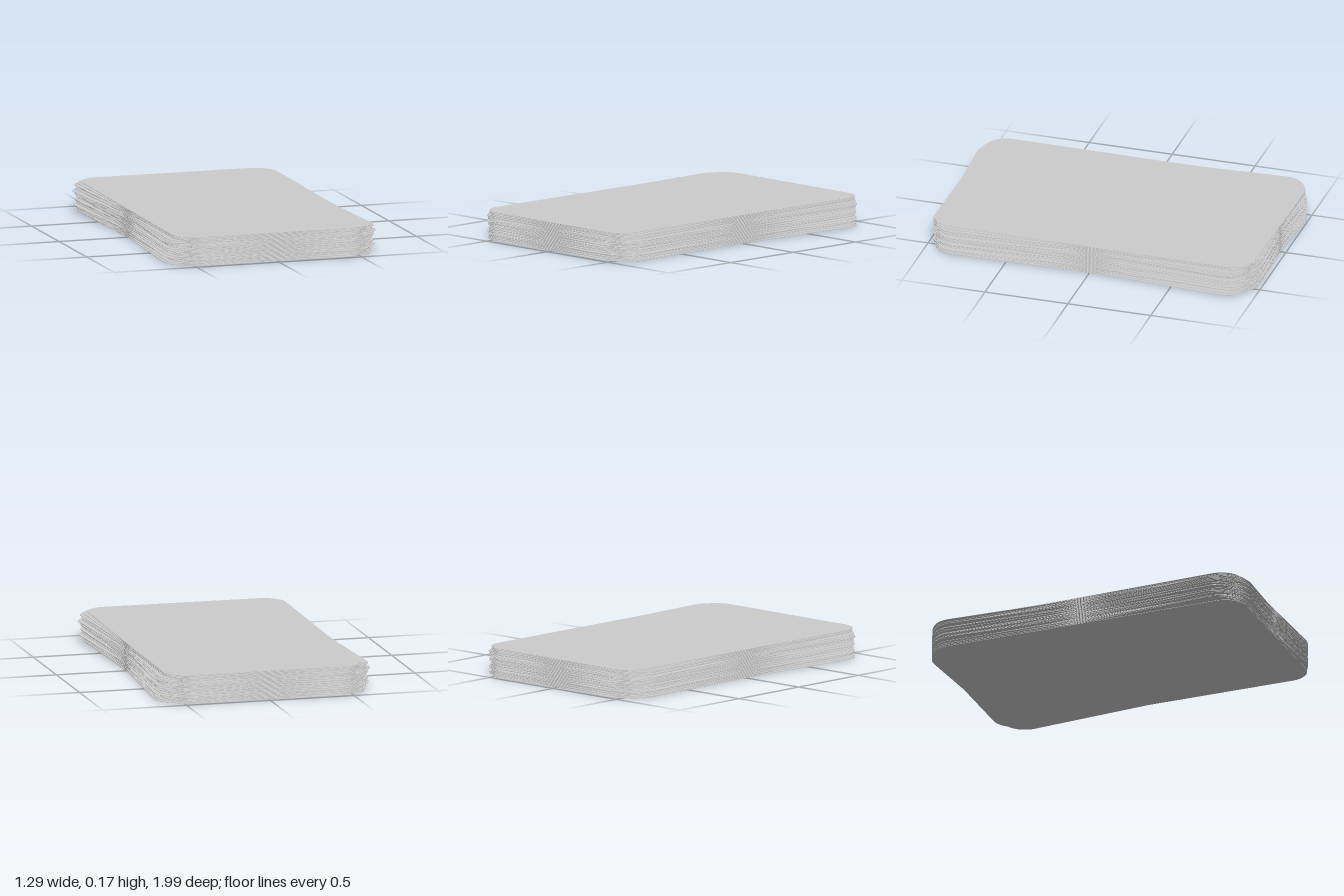
import * as THREE from 'three';

const COUNT = 52, HEIGHT = 0.167, THICKNESS = 0.002;
const HALF_W = 0.587, HALF_L = 0.966, RADIUS = 0.13, MAX_TURN = 0.07;

// Rounded card outline, extruded and laid flat
function cardGeometry() {
  const w = HALF_W, l = HALF_L, r = RADIUS;
  const s = new THREE.Shape();
  s.absarc(w - r, l - r, r, 0, Math.PI / 2);
  s.absarc(-w + r, l - r, r, Math.PI / 2, Math.PI);
  s.absarc(-w + r, -l + r, r, Math.PI, Math.PI * 1.5);
  s.absarc(w - r, -l + r, r, Math.PI * 1.5, Math.PI * 2);
  const geo = new THREE.ExtrudeGeometry(s, { depth: THICKNESS, bevelEnabled: false, curveSegments: 8 });
  return geo.rotateX(-Math.PI / 2);
}

// Small repeatable number source, 0 to 1
function seeded(seed) {
  return () => (seed = (seed * 16807) % 2147483647) / 2147483647;
}

export function createModel() {
  const deck = new THREE.Group();
  deck.name = 'cardDeck';
  const geo = cardGeometry();
  const mat = new THREE.MeshStandardMaterial({ color: 0xcccccc });
  const rand = seeded(4217);

  // Known turns for the outermost cards and the most fanned ones
  const fixed = { 0: 0.018, 12: -0.064, 13: 0.062, 38: MAX_TURN, 39: -MAX_TURN, 50: 0.022, 51: -0.012 };
  const pitch = (HEIGHT - THICKNESS) / (COUNT - 1);

  // Stack of slightly turned cards
  for (let i = 0; i < COUNT; i++) {
    const card = new THREE.Mesh(geo, mat);
    card.name = `card${i + 1}`;
    card.position.y = i * pitch;
    card.rotation.y = fixed[i] ?? (rand() * 2 - 1) * MAX_TURN * 0.92;
    deck.add(card);
  }
  return deck;
}
